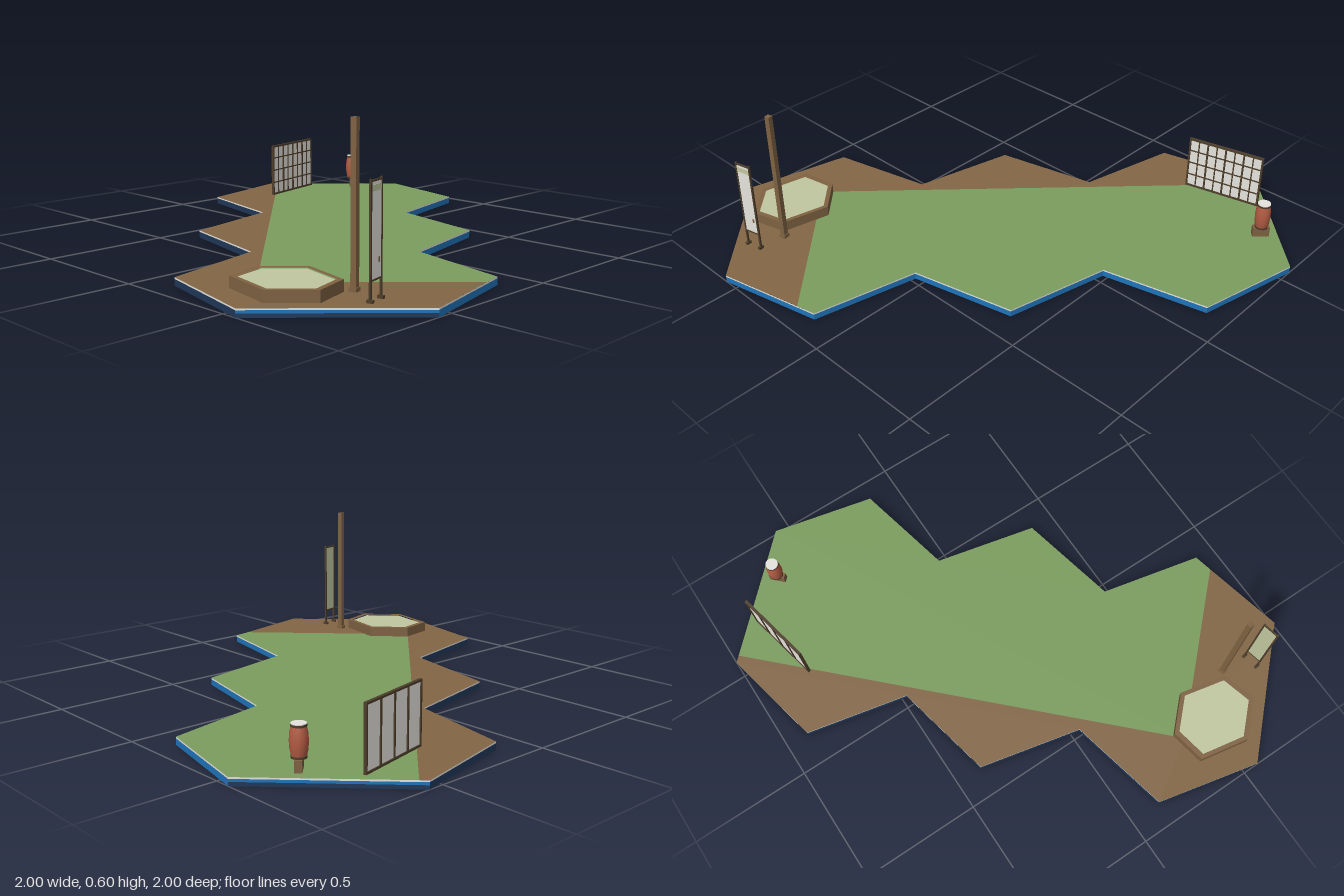
import * as THREE from 'three';

const mat = (name, color) => {
  const m = new THREE.MeshStandardMaterial({ color });
  m.name = name;
  return m;
};

export function createModel() {
  const M = {
    blue: mat('water blue', 0x1f74bb),
    navy: mat('deep navy', 0x1f385a),
    paper: mat('paper white', 0xe6e4de),
    grass: mat('grass green', 0x7b9d5e),
    earth: mat('earth brown', 0x836645),
    wood: mat('wood brown', 0x7f6242),
    dark: mat('dark wood', 0x4e3e2b),
    sand: mat('pale sand', 0xc2c8a1),
    red: mat('drum red', 0xb35c43),
  };
  const root = new THREE.Group();
  const TURN = 0.215; // common heading of the props
  const TOP = 0.03; // ground level

  const add = (parent, name, geo, material, x = 0, y = 0, z = 0) => {
    const mesh = new THREE.Mesh(geo, material);
    mesh.name = name;
    mesh.position.set(x, y, z);
    parent.add(mesh);
  };
  const box = (parent, name, material, w, h, d, x, y, z) =>
    add(parent, name, new THREE.BoxGeometry(w, h, d), material, x, y, z);
  const group = (name, x, z, turn = TURN) => {
    const g = new THREE.Group();
    g.name = name;
    g.position.set(x, TOP, z);
    g.rotation.y = turn;
    root.add(g);
    return g;
  };
  // Points are [x, z] on the ground plan
  const plan = (pts) => new THREE.Shape(pts.map(([x, z]) => new THREE.Vector2(x, -z)));
  const flat = (pts) => new THREE.ShapeGeometry(plan(pts)).rotateX(-Math.PI / 2);

  // Ground: a chain of three hexagons
  const half = [[-1, 0.56], [-0.905, 0.132], [-0.48, 0.038], [-0.385, -0.388],
    [0.04, -0.48], [0.132, -0.905], [0.56, -1]];
  const outline = [...half, ...half.map(([x, z]) => [-x, -z])];
  const strip = (edges, y0, y1) => {
    const pos = [];
    for (const i of edges) {
      const b = outline[i], a = outline[(i + 1) % outline.length];
      const corners = [[a, y0], [b, y0], [b, y1], [a, y0], [b, y1], [a, y1]];
      for (const [p, y] of corners) pos.push(p[0], y, p[1]);
    }
    const g = new THREE.BufferGeometry();
    g.setAttribute('position', new THREE.Float32BufferAttribute(pos, 3));
    g.computeVertexNormals();
    return g;
  };
  const back = [0, 1, 2, 3, 4, 5], front = [7, 8, 9, 10, 11, 12], ends = [6, 13];
  add(root, 'groundSidesFront', strip(front, 0, 0.024), M.blue);
  add(root, 'groundSidesBack', strip(back, 0, 0.024), M.navy);
  add(root, 'groundEndsLower', strip(ends, 0, 0.014), M.navy);
  add(root, 'groundEndsUpper', strip(ends, 0.014, 0.024), M.blue);
  add(root, 'groundRim', strip([...back, ...front, ...ends], 0.024, TOP), M.paper);
  add(root, 'groundUnderside', flat(outline.map(([x, z]) => [x, -z])).rotateX(Math.PI), M.navy);

  // Top: grass and earth meet along straight lines
  const A = [0.583, -0.977], C = [-0.75, 0.375], D = [-0.21, 0.922];
  add(root, 'grass', flat([A, ...outline.slice(7, 13), D, C]), M.grass, 0, TOP, 0);
  add(root, 'earth', flat([...half, A, C, D, outline[13]]), M.earth, 0, TOP, 0);

  // Sand platform with a raised wooden edge
  const hex = [[-0.864, 0.37], [-0.717, 0.343], [-0.593, 0.468],
    [-0.635, 0.667], [-0.777, 0.705], [-0.902, 0.577]];
  const cx = -0.748, cz = 0.522;
  const inner = hex.map(([x, z]) => [cx + (x - cx) * 0.88, cz + (z - cz) * 0.88]);
  const edge = plan(hex);
  edge.holes.push(plan(inner));
  add(root, 'platformEdge', new THREE.ExtrudeGeometry(edge, { depth: 0.042, bevelEnabled: false })
    .rotateX(-Math.PI / 2), M.wood, 0, TOP, 0);
  add(root, 'platformSand', flat(inner), M.sand, 0, 0.068, 0);

  // Tall post
  const post = group('tallPost', -0.604, 0.686);
  box(post, 'postShaft', M.wood, 0.021, 0.565, 0.021, 0, 0.2825, 0);
  box(post, 'postFoot', M.wood, 0.028, 0.014, 0.028, 0, 0.007, 0);

  // Standing banner
  const banner = group('banner', -0.638, 0.808);
  for (const s of [-1, 1]) {
    box(banner, 'bannerPole', M.dark, 0.007, 0.39, 0.007, s * 0.033, 0.195, 0);
    box(banner, 'bannerFoot', M.dark, 0.012, 0.01, 0.022, s * 0.033, 0.005, 0);
  }
  for (const y of [0.07, 0.383]) box(banner, 'bannerRail', M.dark, 0.07, 0.006, 0.006, 0, y, 0);
  box(banner, 'bannerClothFront', M.paper, 0.06, 0.31, 0.002, 0, 0.226, 0.001);
  box(banner, 'bannerClothBack', M.sand, 0.06, 0.31, 0.002, 0, 0.226, -0.001);
  box(banner, 'bannerStripe', M.sand, 0.06, 0.02, 0.001, 0, 0.36, 0.0025);
  box(banner, 'bannerMark', M.wood, 0.008, 0.018, 0.001, 0.016, 0.13, 0.0025);

  // Paper screen: plain panels behind, lattice in front
  const screen = group('paperScreen', 0.515, -0.797);
  const W = 0.328, H = 0.235;
  box(screen, 'screenPaper', M.paper, W - 0.004, H - 0.004, 0.003, 0, H / 2, 0);
  for (let i = 0; i <= 8; i++) {
    const x = (i / 8 - 0.5) * (W - 0.007);
    if (i % 2 === 0) box(screen, 'screenUpright', M.dark, 0.007, H, 0.012, x, H / 2, 0);
    else box(screen, 'screenSlat', M.dark, 0.005, H, 0.003, x, H / 2, 0.003);
  }
  for (const y of [0.004, H - 0.004]) box(screen, 'screenRail', M.dark, W, 0.008, 0.012, 0, y, 0);
  for (let i = 1; i < 4; i++) box(screen, 'screenBar', M.dark, W, 0.005, 0.003, 0, H * i / 4, 0.003);

  // Barrel drum on a stand set along the diagonal
  const drum = group('drum', 0.797, -0.66, Math.PI / 4);
  box(drum, 'drumStand', M.wood, 0.068, 0.042, 0.026, 0, 0.021, 0);
  const profile = [[0.025, 0.046], [0.03, 0.068], [0.032, 0.097], [0.03, 0.126], [0.025, 0.148]];
  add(drum, 'drumBody', new THREE.LatheGeometry(profile.map((p) => new THREE.Vector2(...p)), 12), M.red);
  for (const y of [0.045, 0.149]) {
    add(drum, 'drumRim', new THREE.CylinderGeometry(0.027, 0.027, 0.008, 12), M.dark, 0, y, 0);
  }
  add(drum, 'drumSkin', new THREE.CylinderGeometry(0.0265, 0.0265, 0.003, 12), M.paper, 0, 0.1545, 0);
  return root;
}
